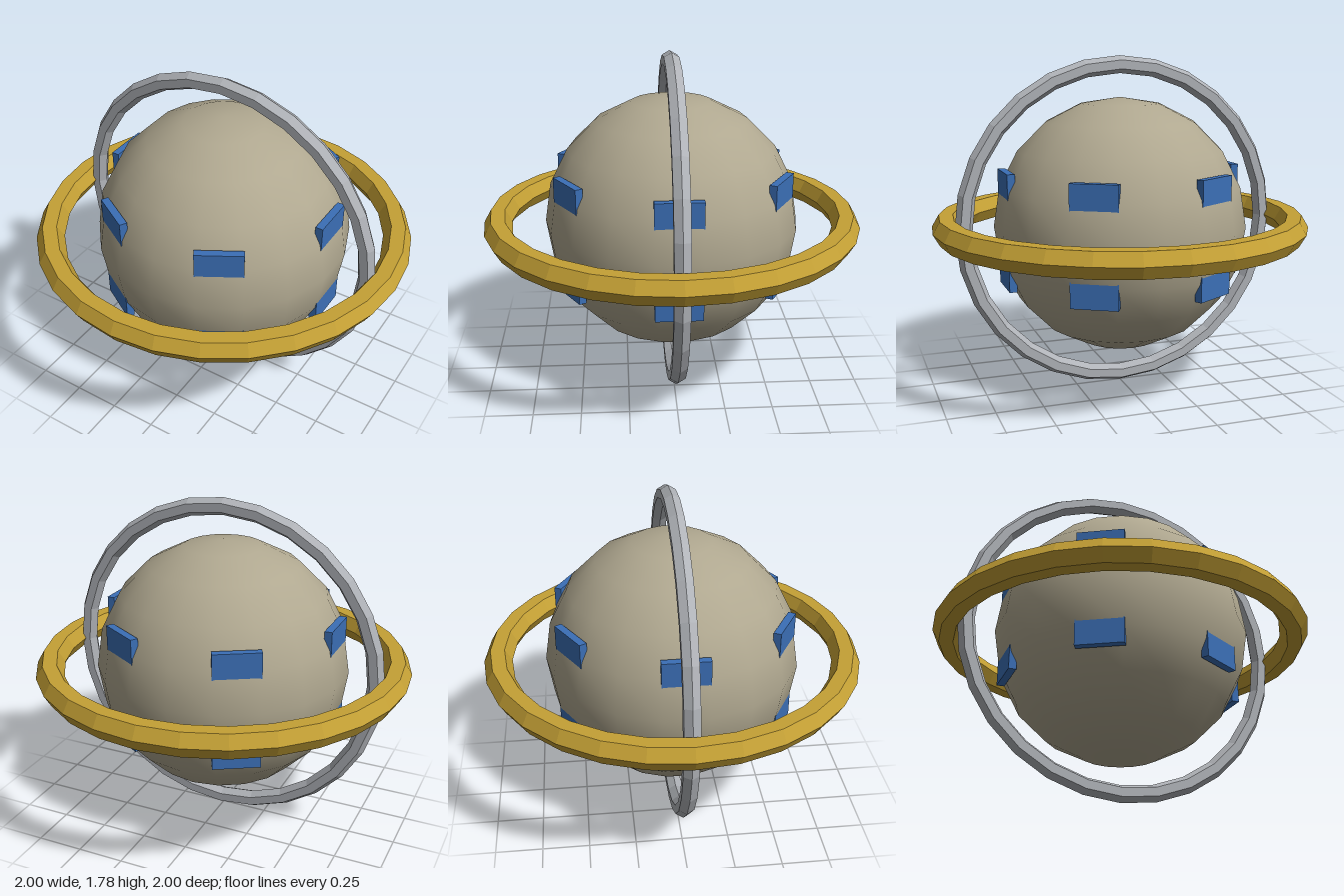
import * as THREE from 'three';

const CENTER_Y = 0.89;

function material(name, color, flatShading = false) {
  const m = new THREE.MeshStandardMaterial({ color, flatShading });
  m.name = name;
  return m;
}

export function createModel() {
  const group = new THREE.Group();
  group.name = 'ringedSphere';

  const stone = material('warm grey', 0xb0a890);
  const gold = material('gold', 0xc4a035, true);
  const silver = material('silver', 0xb0b3b8, true);
  const blue = material('blue', 0x3b6fb6, true);

  const add = (name, geometry, mat, x = 0, y = CENTER_Y, z = 0) => {
    const mesh = new THREE.Mesh(geometry, mat);
    mesh.name = name;
    mesh.position.set(x, y, z);
    group.add(mesh);
    return mesh;
  };

  // Smooth central body, turned so that a vertex column faces the front
  add('body', new THREE.SphereGeometry(0.675, 18, 10), stone).rotation.y = Math.PI / 2;

  // Horizontal and upright rings with hexagonal sections
  add('equatorRing', new THREE.TorusGeometry(0.926, 0.074, 6, 28), gold).rotation.x = Math.PI / 2;
  add('uprightRing', new THREE.TorusGeometry(0.844, 0.046, 6, 28), silver);

  // Two rows of six panels half sunk into the body
  const panel = new THREE.BoxGeometry(0.04, 0.132, 0.24);
  for (const [row, dy] of [['upper', 0.241], ['lower', -0.238]]) {
    for (let i = 0; i < 6; i++) {
      const a = (i * Math.PI) / 3;
      const mesh = add(`${row}Panel${i + 1}`, panel, blue,
        0.617 * Math.cos(a), CENTER_Y + dy, 0.617 * Math.sin(a));
      mesh.rotation.y = -a;
    }
  }

  return group;
}
